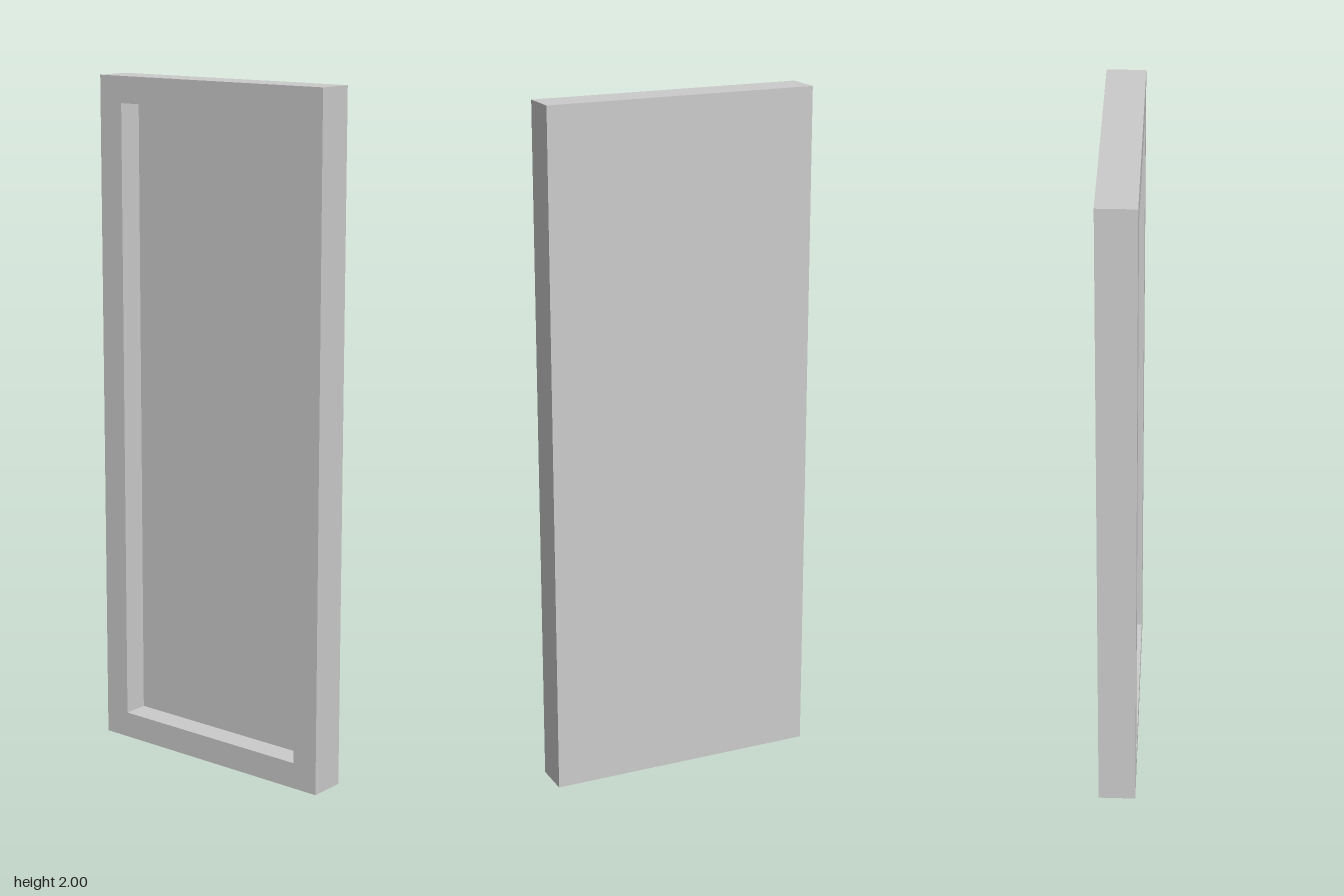
import * as THREE from 'three';

const HEIGHT = 2;

// Four corners of a rectangle centred on the panel, counter-clockwise from the front.
function ring(halfWidth, halfHeight, z) {
  return [[-1, -1], [1, -1], [1, 1], [-1, 1]].map(
    ([sx, sy]) => [sx * halfWidth, HEIGHT / 2 + sy * halfHeight, z]);
}

// Closed solid through successive rings, capped at both ends.
function loftRings(rings) {
  const positions = [];
  const quad = (a, b, c, d) => positions.push(...a, ...b, ...c, ...a, ...c, ...d);
  const first = rings[0], last = rings[rings.length - 1];
  quad(first[3], first[2], first[1], first[0]);
  for (let r = 0; r < rings.length - 1; r++) {
    for (let i = 0; i < 4; i++) {
      const j = (i + 1) % 4;
      quad(rings[r][i], rings[r][j], rings[r + 1][j], rings[r + 1][i]);
    }
  }
  quad(...last);
  const geometry = new THREE.BufferGeometry();
  geometry.setAttribute('position', new THREE.Float32BufferAttribute(positions, 3));
  geometry.computeVertexNormals();
  return geometry;
}

export function createModel() {
  const model = new THREE.Group();
  model.name = 'framedPanel';

  // Flat back, outer sides, front rim, recess walls and recessed face in one solid
  const panel = new THREE.Mesh(
    loftRings([
      ring(0.4, 1, -0.055),
      ring(0.4, 1, 0.055),
      ring(0.32, 0.923, 0.055),
      ring(0.32, 0.923, -0.02),
    ]),
    new THREE.MeshStandardMaterial({ color: 0xcccccc, flatShading: true }));
  panel.name = 'recessedPanel';
  model.add(panel);

  return model;
}
